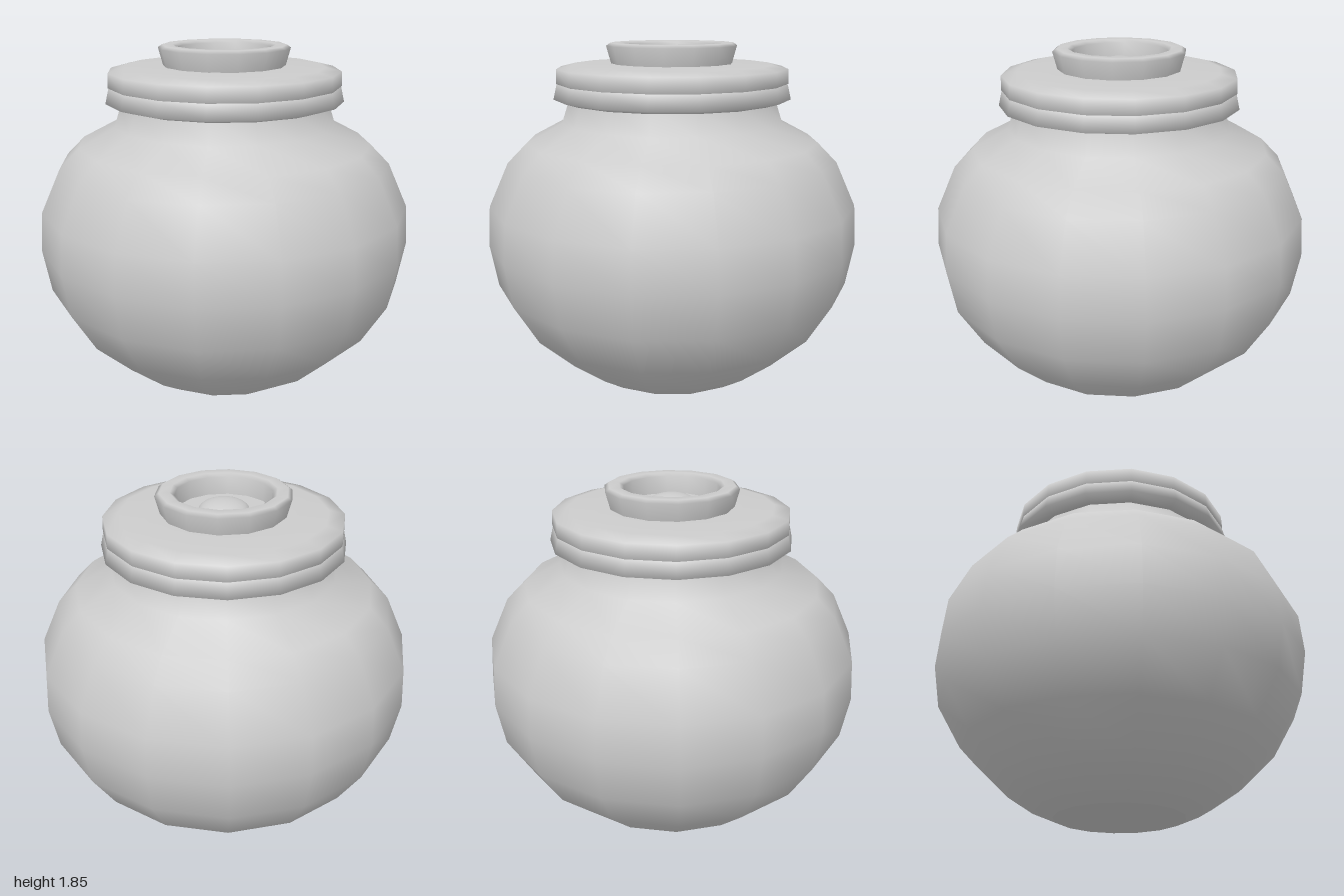
import * as THREE from 'three';

const material = new THREE.MeshStandardMaterial({ color: 0xcccccc });

// Smooth surface of revolution; the profile runs up the outside, as [radius, height]
function turned(name, profile, sides) {
  const points = profile.map(([r, y]) => new THREE.Vector2(r, y));
  const mesh = new THREE.Mesh(new THREE.LatheGeometry(points, sides), material);
  mesh.name = name;
  return mesh;
}

export function createModel() {
  const group = new THREE.Group();
  group.name = 'lidded jar';

  // Round belly, shoulder and neck
  group.add(turned('body', [
    [0.34, 0], [0.48, 0.06], [0.63, 0.16], [0.83, 0.35], [0.96, 0.57], [1, 0.8],
    [0.985, 1.01], [0.88, 1.24], [0.78, 1.34], [0.59, 1.44], [0.55, 1.56],
  ], 16));

  // Flat underside
  const base = new THREE.Mesh(new THREE.CircleGeometry(0.34, 16), material);
  base.rotation.x = Math.PI / 2;
  base.name = 'base';
  group.add(base);

  // Lower flange of the lid
  group.add(turned('lidFlange', [
    [0.5, 1.54], [0.56, 1.545], [0.63, 1.565], [0.612, 1.64], [0.58, 1.65],
  ], 16));

  // Upper band and flat top of the lid
  group.add(turned('lid', [
    [0.58, 1.635], [0.615, 1.645], [0.612, 1.72], [0.53, 1.74], [0.3, 1.745], [0, 1.745],
  ], 16));

  // Hollow flared grip
  group.add(turned('gripRing', [
    [0.32, 1.735], [0.347, 1.835], [0.325, 1.85], [0.27, 1.85], [0.247, 1.835], [0.24, 1.74],
  ], 14));

  // Low button inside the grip
  const button = new THREE.Mesh(
    new THREE.SphereGeometry(0.13, 24, 8, 0, Math.PI * 2, 0, Math.PI / 2), material);
  button.scale.y = 0.45;
  button.position.y = 1.745;
  button.name = 'button';
  group.add(button);

  return group;
}
